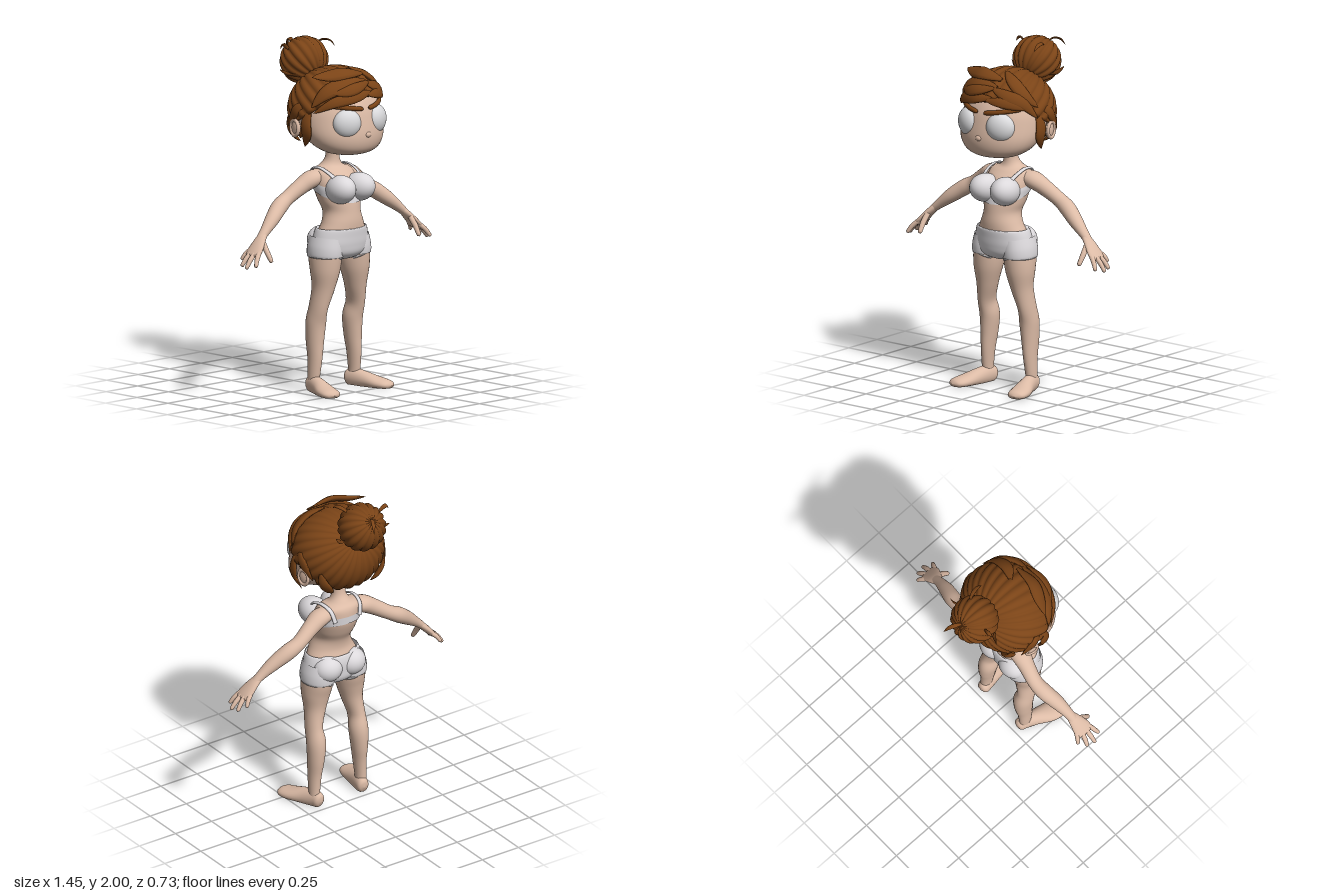
import * as THREE from 'three';

const mat = (name, color, side = THREE.FrontSide) => {
  const m = new THREE.MeshStandardMaterial({ color, side });
  m.name = name;
  return m;
};
const V = (x, y, z) => new THREE.Vector3(x, y, z);

// smooth interpolation through rows of numbers
function at(rows, t) {
  const n = rows.length, s = t * (n - 1), i = Math.min(Math.floor(s), n - 2), f = s - i;
  const [p, q, r, w] = [-1, 0, 1, 2].map(k => rows[Math.min(Math.max(i + k, 0), n - 1)]);
  return q.map((b, c) => b + 0.5 * f * (r[c] - p[c]
    + f * (2 * p[c] - 5 * b + 4 * r[c] - w[c] + f * (3 * (b - r[c]) + w[c] - p[c]))));
}

// surface wrapped around in u, open in v
function grid(nu, nv, f) {
  const pos = [], idx = [];
  for (let j = 0; j <= nv; j++) for (let i = 0; i < nu; i++) pos.push(...f(i / nu * Math.PI * 2, j / nv));
  for (let j = 0; j < nv; j++) for (let i = 0; i < nu; i++) {
    const a = j * nu + i, b = j * nu + (i + 1) % nu;
    idx.push(a, b, a + nu, b, b + nu, a + nu);
  }
  const g = new THREE.BufferGeometry();
  g.setAttribute('position', new THREE.Float32BufferAttribute(pos, 3));
  g.setIndex(idx);
  g.computeVertexNormals();
  return g;
}

// horizontal ellipses, top to bottom: [y, half width, front z, back z]
const loft = (rows, nv = 40) => grid(40, nv, (a, t) => {
  const [y, rx, zf, zb] = at(rows, t);
  return [Math.cos(a) * rx, y, (zf + zb) / 2 + Math.sin(a) * (zf - zb) / 2];
});

// ellipse swept along a path: [x, y, z, radius along ref, radius across]
function sweep(rows, ref, { start = false, end = false, nu = 18, nv = 28 } = {}) {
  const cap = d => Math.sqrt(Math.max(0, 1 - Math.max(0, 1 - d / 0.15) ** 2));
  return grid(nu, nv, (a, t) => {
    const [x, y, z, r1, r2] = at(rows, t), p = V(x, y, z);
    const T = V(...at(rows, Math.min(1, t + 0.01))).sub(V(...at(rows, Math.max(0, t - 0.01)))).normalize();
    const N = (typeof ref === 'function' ? ref(p) : ref.clone());
    N.addScaledVector(T, -N.dot(T)).normalize();
    const B = T.clone().cross(N);
    const k = (start ? cap(t) : 1) * (end ? cap(1 - t) : 1);
    return p.addScaledVector(N, Math.cos(a) * Math.max(r1, 0) * k)
      .addScaledVector(B, Math.sin(a) * Math.max(r2, 0) * k).toArray();
  });
}

const ball = (c, r, ry = 0, rx = 0) => new THREE.SphereGeometry(1, 32, 22)
  .scale(...r).rotateX(rx).rotateY(ry).translate(...c);

// ribbed hair shell radiating from the bun direction
const HC = V(0, 1.62, 0.08), HR = V(0.272, 0.24, 0.255);
function ribbed(c, r, lobes, amp, reach, nv) {
  const axis = V(0, 0.6, -0.8), u = V(0, 0.8, 0.6);
  return grid(lobes * 6, nv, (a, s) => {
    const t = reach(a) * Math.min(1, s * nv / (nv - 1));
    const d = axis.clone().multiplyScalar(Math.cos(t))
      .addScaledVector(u, Math.cos(a) * Math.sin(t)).addScaledVector(V(-1, 0, 0), Math.sin(a) * Math.sin(t));
    const rib = 1 + amp * Math.sin(t) * (Math.abs(Math.sin(a * lobes / 2)) - 0.5);
    return d.multiply(r).multiplyScalar(s === 1 ? 0.88 : rib).add(c).toArray();
  });
}

// pointed flat lock of hair; k lays it on the hair shell at that scale
function lock(points, w, k) {
  const pts = points.map(p => V(...p)).map(p => k
    ? p.sub(HC).divide(HR).normalize().multiplyScalar(k).multiply(HR).add(HC) : p);
  const curve = new THREE.CatmullRomCurve3(pts), rows = [];
  for (let i = 0; i <= 12; i++) {
    const r = w * Math.sin(Math.PI * (0.06 + 0.94 * i / 12)) ** 0.8 || 0;
    rows.push([...curve.getPoint(i / 12).toArray(), r * 0.4, r]);
  }
  return sweep(rows, p => p.clone().sub(HC), { nu: 10, nv: 20 });
}

export function createModel() {
  const model = new THREE.Group();
  const skin = mat('skin', 0xdcbba6), cloth = mat('white cloth', 0xdcd9dc, THREE.DoubleSide);
  const eye = mat('eye white', 0xdadadc), hair = mat('brown hair', 0x7b4417, THREE.DoubleSide);

  const add = (name, m, g) => {
    const mesh = new THREE.Mesh(g, m);
    mesh.name = name;
    model.add(mesh);
  };
  const pair = (name, m, g) => {
    add('left ' + name, m, g);
    const o = g.clone().scale(-1, 1, 1);
    o.setIndex(Array.from(o.index.array).reverse());
    add('right ' + name, m, o);
  };

  // head
  add('head', skin, loft([[1.835, 0.002, 0.08, 0.07], [1.825, 0.09, 0.14, -0.02], [1.79, 0.165, 0.21, -0.08],
    [1.72, 0.225, 0.285, -0.13], [1.65, 0.25, 0.325, -0.14], [1.58, 0.257, 0.345, -0.12], [1.5, 0.25, 0.358, -0.06],
    [1.44, 0.222, 0.352, 0], [1.4, 0.17, 0.33, 0.07], [1.38, 0.1, 0.29, 0.13], [1.374, 0.003, 0.22, 0.21]], 50));
  add('nose', skin, ball([0, 1.5, 0.35], [0.022, 0.018, 0.016]));
  pair('eye', eye, ball([0.115, 1.57, 0.297], [0.085, 0.084, 0.056], 0.38));
  pair('eyebrow', hair, sweep([[0.022, 1.648, 0.336, 0.013, 0.012], [0.09, 1.658, 0.322, 0.014, 0.012],
    [0.16, 1.668, 0.278, 0.013, 0.012], [0.21, 1.672, 0.222, 0.008, 0.01]], V(0, 1, 0), { start: true, end: true }));
  pair('ear', skin, ball([0.256, 1.53, 0.03], [0.018, 0.052, 0.042], 0.25));
  pair('ear rim', skin, new THREE.TorusGeometry(0.038, 0.01, 10, 28).scale(0.95, 1.2, 1)
    .rotateY(Math.PI / 2 + 0.2).translate(0.268, 1.532, 0.03));

  // hair shell, with its hairline given as [azimuth, reach] in degrees
  const line = [[0, 122], [30, 118], [60, 106], [85, 100], [105, 90], [125, 88], [140, 95], [160, 89], [180, 83]];
  const reach = a => {
    const d = 180 - Math.abs(180 - a * 180 / Math.PI);
    const i = Math.min(line.findIndex(p => p[0] >= d - 1e-6) || 1, 8), [p, q] = [line[i - 1], line[i]];
    return THREE.MathUtils.degToRad(p[1] + (q[1] - p[1]) * (d - p[0]) / (q[0] - p[0]));
  };
  add('hair', hair, ribbed(HC, HR, 26, 0.045, reach, 24));
  add('hair bun', hair, ribbed(V(0, 1.862, -0.165), V(0.134, 0.134, 0.134), 16, 0.1, () => Math.PI * 0.995, 24));

  // swept fringe
  [
    [[[0.07, 1.8, 0.28], [-0.08, 1.8, 0.28], [-0.2, 1.75, 0.22], [-0.26, 1.66, 0.16]], 0.05, 1.05],
    [[[0.06, 1.74, 0.32], [-0.06, 1.72, 0.32], [-0.18, 1.69, 0.26], [-0.25, 1.63, 0.17]], 0.035, 1.05],
    [[[0.07, 1.83, 0.23], [-0.06, 1.845, 0.23], [-0.16, 1.835, 0.19], [-0.25, 1.835, 0.15]], 0.045],
    [[[0.06, 1.79, 0.29], [-0.04, 1.77, 0.31], [-0.12, 1.755, 0.3], [-0.2, 1.75, 0.26]], 0.035, 1.1],
    [[[0.05, 1.79, 0.29], [0.14, 1.75, 0.27], [0.21, 1.71, 0.22], [0.26, 1.62, 0.15]], 0.04, 1.05],
    [[[0.03, 1.72, 0.32], [0.12, 1.72, 0.31], [0.2, 1.7, 0.25], [0.25, 1.67, 0.18]], 0.032, 1.05],
    [[[0.04, 1.86, 0.15], [0.13, 1.83, 0.2], [0.22, 1.76, 0.2], [0.265, 1.68, 0.14]], 0.04, 1.04],
  ].forEach(([p, w, k], i) => add('fringe lock ' + (i + 1), hair, lock(p, w, k)));

  // locks around the ears and nape
  pair('sideburn', hair, lock([[0.245, 1.66, 0.13], [0.27, 1.57, 0.125], [0.266, 1.5, 0.125], [0.24, 1.425, 0.085]], 0.036));
  pair('temple lock', hair, lock([[0.25, 1.68, 0.1], [0.27, 1.64, 0.05], [0.265, 1.59, 0.01], [0.25, 1.53, -0.04]], 0.032));
  pair('nape lock', hair, lock([[0.22, 1.58, -0.07], [0.2, 1.51, -0.08], [0.165, 1.46, -0.075], [0.13, 1.425, -0.06]], 0.035));
  // loose wisps at the bun
  [
    [[0, 1.94, -0.25], [0.015, 1.965, -0.29], [0.035, 1.955, -0.33], [0.05, 1.915, -0.36]],
    [[0.07, 1.96, -0.14], [0.09, 1.98, -0.1], [0.1, 1.975, -0.05], [0.1, 1.95, -0.02]],
    [[-0.09, 1.92, -0.18], [-0.13, 1.96, -0.19], [-0.15, 1.965, -0.19], [-0.17, 1.94, -0.185]],
    [[0.08, 1.8, -0.12], [0.13, 1.8, -0.15], [0.16, 1.82, -0.17], [0.19, 1.85, -0.18]],
    [[-0.08, 1.79, -0.1], [-0.14, 1.8, -0.14], [-0.19, 1.83, -0.17]],
  ].forEach((p, i) => add('wisp ' + (i + 1), hair, lock(p, 0.013)));

  // torso
  const torso = [[1.42, 0.042, 0.11, 0.03], [1.34, 0.04, 0.105, 0.022], [1.295, 0.065, 0.115, -0.005],
    [1.268, 0.125, 0.145, -0.028], [1.23, 0.135, 0.185, -0.036], [1.17, 0.135, 0.222, -0.032], [1.1, 0.124, 0.238, -0.005],
    [1.04, 0.109, 0.246, 0.027], [0.98, 0.127, 0.252, 0.037], [0.92, 0.155, 0.248, 0.025], [0.88, 0.16, 0.24, 0.03]];
  add('torso', skin, loft(torso, 60));

  // bra
  pair('bra cup', cloth, ball([0.072, 1.172, 0.205], [0.08, 0.082, 0.102], 0.15, -0.15));
  add('bra band', cloth, grid(48, 6, (a, t) => {
    const s = Math.sin(a) * 0.5 + 0.5, y = 1.2 - 0.07 * s + (0.5 - t) * (0.045 + 0.03 * s);
    const i = torso.findIndex(r => r[0] < y), [p, q] = [torso[i - 1], torso[i]], f = (y - p[0]) / (q[0] - p[0]);
    const [, rx, zf, zb] = p.map((v, c) => v + (q[c] - v) * f);
    return [Math.cos(a) * (rx + 0.006), y, (zf + zb) / 2 + Math.sin(a) * ((zf - zb) / 2 + 0.006)];
  }));
  pair('bra strap', cloth, sweep([[0.095, 1.225, 0.2, 0.006, 0.016], [0.108, 1.262, 0.145, 0.006, 0.012],
    [0.11, 1.286, 0.07, 0.006, 0.012], [0.1, 1.268, 0, 0.006, 0.012], [0.085, 1.2, -0.026, 0.006, 0.014]],
  p => p.clone().sub(V(0.09, 1.2, 0.08)), { nu: 10 }));

  // shorts
  add('shorts', cloth, loft([[0.945, 0.158, 0.25, 0.02], [0.938, 0.167, 0.256, 0.012], [0.9, 0.18, 0.254, 0.004],
    [0.85, 0.19, 0.25, 0.004], [0.8, 0.17, 0.238, 0.01], [0.768, 0.1, 0.2, 0.04], [0.755, 0.005, 0.13, 0.11]]));
  pair('shorts seat', cloth, ball([0.08, 0.868, 0.058], [0.088, 0.08, 0.08]));
  pair('shorts leg', cloth, sweep([[0.1, 0.89, 0.118, 0.085, 0.11], [0.108, 0.83, 0.117, 0.094, 0.115],
    [0.111, 0.787, 0.117, 0.094, 0.112], [0.111, 0.784, 0.117, 0.086, 0.104]], V(1, 0, 0), { nu: 28 }));

  // legs and feet
  pair('leg', skin, sweep([[0.106, 0.87, 0.117, 0.08, 0.1], [0.11, 0.79, 0.118, 0.088, 0.105], [0.118, 0.7, 0.123, 0.082, 0.09],
    [0.128, 0.6, 0.118, 0.061, 0.07], [0.147, 0.49, 0.1, 0.047, 0.062], [0.146, 0.4, 0.078, 0.054, 0.063],
    [0.15, 0.3, 0.075, 0.047, 0.058], [0.155, 0.2, 0.08, 0.037, 0.049], [0.16, 0.1, 0.077, 0.031, 0.04],
    [0.16, 0.04, 0.07, 0.03, 0.036]], V(1, 0, 0), { nu: 28, nv: 48 }));
  const foot = sweep([[0.15, 0.035, 0.022, 0.04, 0.034], [0.157, 0.042, 0.07, 0.055, 0.038], [0.177, 0.035, 0.14, 0.05, 0.046],
    [0.207, 0.022, 0.23, 0.036, 0.06], [0.228, 0.016, 0.315, 0.024, 0.052]], V(0, 1, 0), { start: true, end: true, nu: 24 });
  const fp = foot.attributes.position;
  for (let i = 0; i < fp.count; i++) fp.setY(i, Math.max(0, fp.getY(i)));
  foot.computeVertexNormals();
  pair('foot', skin, foot);

  // arms and hands
  const fwd = V(0, 0, 1);
  pair('arm', skin, sweep([[0.08, 1.232, 0.05, 0.05, 0.04], [0.15, 1.222, 0.045, 0.06, 0.05], [0.22, 1.185, 0.03, 0.048, 0.046],
    [0.31, 1.128, 0.013, 0.043, 0.041], [0.38, 1.087, 0.02, 0.047, 0.046], [0.46, 1.03, 0.044, 0.042, 0.04],
    [0.53, 0.975, 0.06, 0.031, 0.028], [0.575, 0.937, 0.067, 0.027, 0.021]], fwd, { nu: 24, nv: 40 }));
  pair('palm', skin, sweep([[0.55, 0.958, 0.065, 0.026, 0.02], [0.59, 0.92, 0.072, 0.042, 0.021],
    [0.635, 0.872, 0.08, 0.056, 0.019], [0.662, 0.843, 0.08, 0.05, 0.015]], fwd, { end: true }));
  [
    ['little finger', [0.63, 0.875, 0.038], [0.672, 0.82, 0.012], 0.013],
    ['ring finger', [0.645, 0.865, 0.066], [0.71, 0.79, 0.05], 0.014],
    ['middle finger', [0.645, 0.865, 0.094], [0.722, 0.783, 0.1], 0.014],
    ['index finger', [0.635, 0.87, 0.118], [0.695, 0.795, 0.152], 0.014],
    ['thumb', [0.585, 0.915, 0.1], [0.586, 0.812, 0.172], 0.016],
  ].forEach(([name, a, b, r]) => {
    const mid = a.map((v, i) => (v + b[i]) / 2 + (i < 2 ? 0.004 : 0));
    pair(name, skin, sweep([[...a, r, r], [...mid, r, r], [...b, r * 0.75, r * 0.75]], fwd, { end: true, nu: 12, nv: 16 }));
  });
  return model;
}
